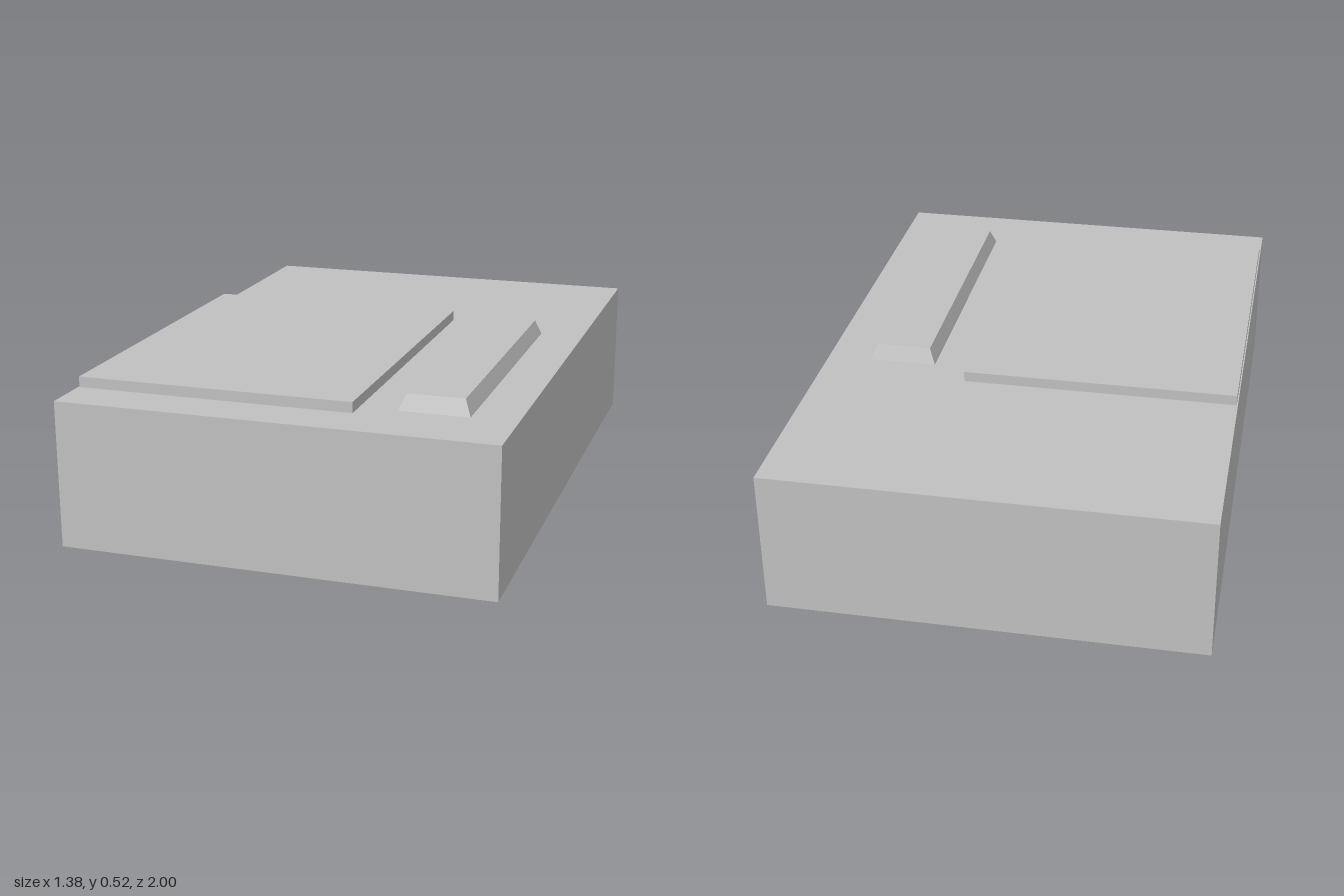
import * as THREE from 'three';

const TOP = 0.47; // height of the main block

export function createModel() {
  const group = new THREE.Group();
  const grey = new THREE.MeshStandardMaterial({ color: 0xc0c0c0 });
  grey.name = 'grey';

  // Box between two corners; its top face is drawn in by `inset` on every side
  function block(name, [x0, y0, z0], [x1, y1, z1], inset = 0) {
    const geometry = new THREE.BoxGeometry(x1 - x0, y1 - y0, z1 - z0);
    const p = geometry.attributes.position;
    for (let i = 0; i < p.count; i++) {
      if (p.getY(i) < 0) continue;
      p.setX(i, p.getX(i) - Math.sign(p.getX(i)) * inset);
      p.setZ(i, p.getZ(i) - Math.sign(p.getZ(i)) * inset);
    }
    geometry.computeVertexNormals();
    const mesh = new THREE.Mesh(geometry, grey);
    mesh.name = name;
    mesh.position.set((x0 + x1) / 2, (y0 + y1) / 2, (z0 + z1) / 2);
    group.add(mesh);
  }

  block('mainBlock', [-0.69, 0, -1], [0.69, TOP, 1]);
  block('raisedPanel', [-0.686, TOP, -0.32], [0.204, 0.504, 0.843]);
  block('bevelledRidge', [0.325, TOP, -0.23], [0.545, 0.52, 0.78], 0.02);

  return group;
}
